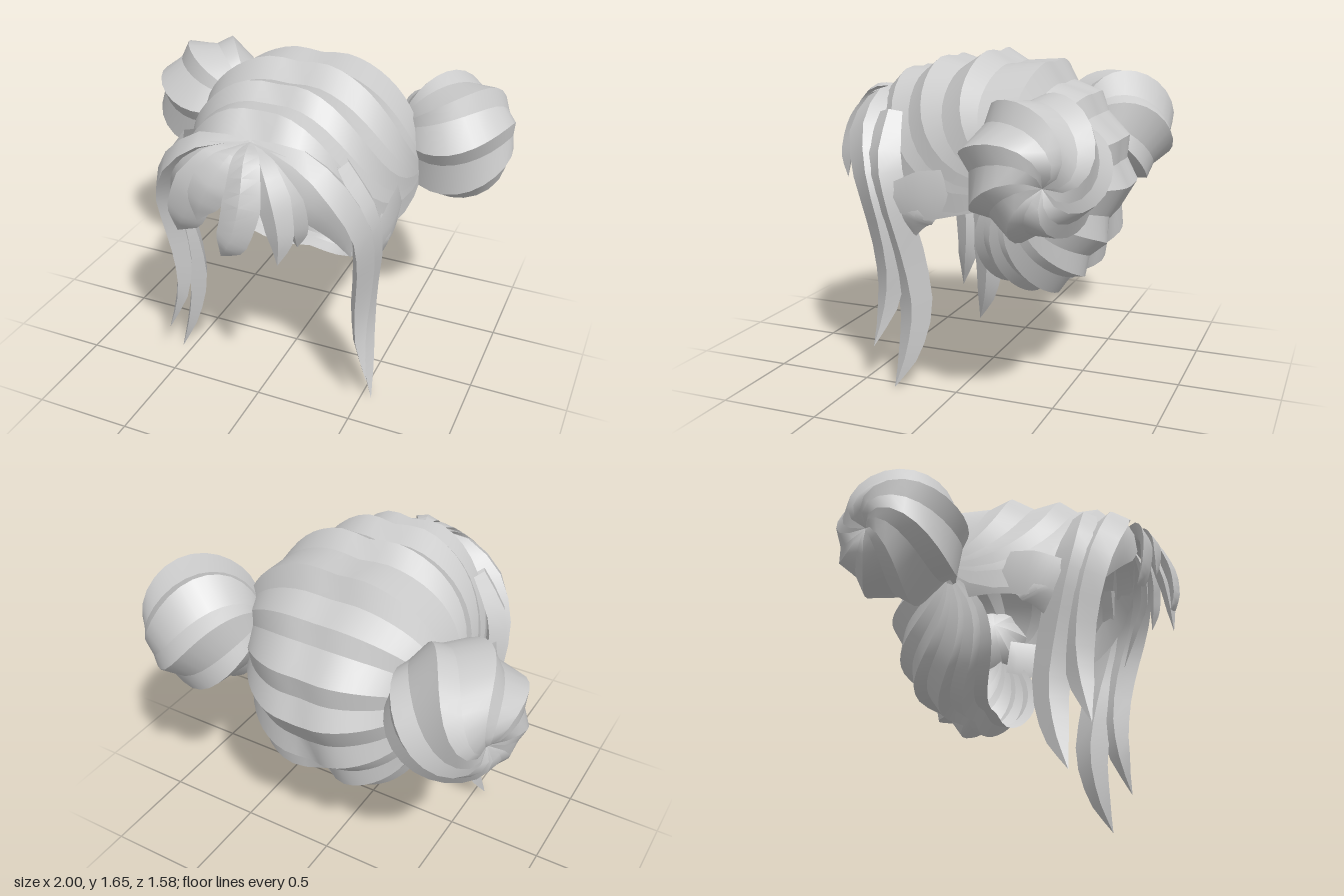
import * as THREE from 'three';
import { mergeGeometries, toCreasedNormals } from 'three/addons/utils/BufferGeometryUtils.js';

const material = new THREE.MeshStandardMaterial({ color: 0xcccccc, side: THREE.DoubleSide });
const V = (x, y, z) => new THREE.Vector3(x, y, z);
const { degToRad, radToDeg, lerp, smoothstep } = THREE.MathUtils;

function named(geometry, name) {
  const mesh = new THREE.Mesh(geometry, material);
  mesh.name = name;
  return mesh;
}

// Grid of quads through rows of points
function loft(rows) {
  const n = rows[0].length, index = [];
  for (let i = 0; i < rows.length - 1; i++)
    for (let j = 0; j < n - 1; j++) {
      const a = i * n + j, b = a + n;
      index.push(a, a + 1, b, b, a + 1, b + 1);
    }
  const g = new THREE.BufferGeometry().setFromPoints(rows.flat());
  g.setIndex(index);
  g.computeVertexNormals();
  return g;
}

// Separate smooth bands between neighbouring ridge lines, so ridges stay sharp
function bands(lines) {
  const parts = [];
  for (let i = 0; i < lines.length - 1; i++) parts.push(loft([lines[i], lines[i + 1]]));
  return mergeGeometries(parts);
}

// Ridged cap: mid-line profile (z, y), every line gathered towards the bun on each side
const PROFILE = [
  [0.55, 1.45], [0.42, 1.575], [0.31, 1.565], [0.22, 1.635], [0.09, 1.59], [-0.03, 1.665],
  [-0.13, 1.6], [-0.33, 1.615], [-0.39, 1.51], [-0.54, 1.46], [-0.58, 1.36], [-0.7, 1.24],
  [-0.69, 1.12], [-0.75, 1.02], [-0.68, 0.9], [-0.7, 0.78], [-0.62, 0.7], [-0.61, 0.59],
  [-0.53, 0.57], [-0.46, 0.47], [-0.39, 0.5], [-0.32, 0.455], [-0.25, 0.51], [-0.18, 0.49],
];

function capLine([z, y]) {
  const cz = -0.2, cy = 1.08;
  const r = Math.hypot(z - cz, y - cy);
  let deg = radToDeg(Math.atan2(y - cy, z - cz));
  if (deg < 0) deg += 360;
  // front lines sag on the way to the bun, nape lines lean forward
  let sag = 0;
  if (deg < 105) sag = 92 * (105 - deg) / 80;
  if (deg > 180) sag = -50 * (deg - 180) / 90;
  const width = 0.585 - 0.095 * smoothstep(deg, 90, 180);
  const n = 2.3 - 0.3 * smoothstep(deg, 70, 150) + 0.8 * smoothstep(deg, 190, 250);
  const line = [];
  for (let i = -14; i <= 14; i++) {
    const t = Math.abs(i) / 14 * 1.53;
    const s = Math.pow(Math.cos(t), 2 / n);
    const x = Math.sign(i) * width * Math.pow(Math.sin(t), 2 / n);
    // the parting dips in, and nape lines meet there in a V
    const parting = Math.exp(-Math.pow(x / 0.1, 2));
    const vee = 15 * smoothstep(deg, 175, 215) * (1 - smoothstep(deg, 230, 268)) * Math.exp(-Math.abs(x) / 0.16);
    const a = degToRad(deg - sag * (1 - s) + vee);
    const rr = r * s * (1 - 0.045 * parting);
    const zc = cz - 0.1 * Math.pow(1 - s, 2);
    line.push(V(x, cy + rr * Math.sin(a), zc + rr * Math.cos(a)));
  }
  return line;
}

// Tapered lock with a diamond section; wide is the direction of its breadth
function lock(points, widths, wide, thickness) {
  const curve = new THREE.CatmullRomCurve3(points.map(p => V(...p)));
  const rows = [], steps = 14;
  for (let i = 0; i <= steps; i++) {
    const t = i / steps, f = t * (widths.length - 1), k = Math.min(Math.floor(f), widths.length - 2);
    const w = lerp(widths[k], widths[k + 1], f - k);
    const p = curve.getPoint(t), tan = curve.getTangent(t);
    const side = V(...wide).addScaledVector(tan, -tan.dot(V(...wide))).normalize();
    const out = V(0, 0, 0).crossVectors(side, tan).normalize();
    const h = thickness * w / Math.max(...widths);
    rows.push([[w, 0], [0, h], [-w, 0], [0, -h], [w, 0]].map(([a, b]) =>
      p.clone().addScaledVector(side, a).addScaledVector(out, b)));
  }
  return toCreasedNormals(loft(rows), degToRad(35));
}

// Swirled bun: stepped lobes twisting from the head to the outer knot
function bunGeometry() {
  const lobes = 7, lines = [], center = V(0.69, 1.19, -0.465);
  const axis = V(0.86, -0.2, -0.45).normalize();
  const turn = new THREE.Quaternion().setFromUnitVectors(V(0, 1, 0), axis);
  for (let k = 0; k <= lobes * 2; k++) {
    const ridge = k % 2 === 0;
    const start = (Math.floor(k / 2) + (ridge ? 0 : 0.66)) / lobes * Math.PI * 2;
    const line = [];
    for (let j = 0; j <= 16; j++) {
      const v = j / 16, lat = v * Math.PI;
      const a = start + 1.8 * v * v;
      const r = ridge ? 0.338 : 0.285;
      const dimple = 1 - 0.25 * Math.pow(v, 14);
      const h = -Math.cos(lat) * 0.3 * dimple;
      const ring = r * Math.pow(Math.sin(lat), 0.9);
      line.push(V(ring * Math.cos(a), h, ring * Math.sin(a)).applyQuaternion(turn).add(center));
    }
    lines.push(line);
  }
  return bands(lines);
}

// Everything that hangs or sits on one side
function sideHair() {
  const g = new THREE.Group();
  g.add(named(bunGeometry(), 'bun'));
  // side locks sweep from the parting over the temple and hang down
  g.add(named(lock(
    [[0, 1.45, 0.5], [0.24, 1.41, 0.51], [0.41, 1.27, 0.5], [0.505, 1.07, 0.44], [0.51, 0.85, 0.38],
      [0.49, 0.6, 0.35], [0.5, 0.4, 0.37], [0.56, 0.2, 0.42]],
    [0.01, 0.08, 0.1, 0.095, 0.09, 0.08, 0.055, 0], [0, 0, 1], 0.06), 'frontSideLock'));
  g.add(named(lock(
    [[0.39, 1.36, 0.38], [0.51, 1.14, 0.37], [0.525, 0.93, 0.32], [0.495, 0.7, 0.265], [0.48, 0.42, 0.22],
      [0.51, 0.18, 0.25], [0.555, 0, 0.31]],
    [0.06, 0.1, 0.1, 0.1, 0.09, 0.06, 0], [0, 0, 1], 0.055), 'backSideLock'));
  // band between bun and temple, with a loose pointed end
  g.add(named(lock(
    [[0.46, 1.05, -0.25], [0.54, 1.02, -0.03], [0.555, 0.99, 0.15], [0.545, 0.97, 0.33]],
    [0.1, 0.11, 0.12, 0.06], [0, 1, 0], 0.02), 'templeBand'));
  g.add(named(lock(
    [[0.53, 1.0, 0.1], [0.545, 0.89, 0.18], [0.51, 0.77, 0.21]],
    [0.1, 0.09, 0], [0, 0, 1], 0.02), 'templeTuft'));
  g.add(named(lock(
    [[0, 1.45, 0.53], [0.17, 1.36, 0.58], [0.32, 1.23, 0.57], [0.42, 1.08, 0.49], [0.46, 0.9, 0.42]],
    [0.01, 0.085, 0.1, 0.07, 0], [1, 0.8, -0.3], 0.02), 'outerFringe'));
  return g;
}

export function createModel() {
  const model = new THREE.Group();
  model.name = 'hair';
  model.add(named(bands(PROFILE.map(capLine)), 'cap'));

  const left = sideHair(), right = sideHair();
  left.name = 'leftSide';
  right.name = 'rightSide';
  right.scale.x = -1;
  model.add(left, right);

  // Fringe locks fan out from the middle of the hairline
  const fringe = new THREE.Group();
  fringe.name = 'fringe';
  const tips = [
    [[0.04, 1.43, 0.65], [0.06, 1.25, 0.745], [0.01, 1.06, 0.765], [-0.05, 0.97, 0.745], 0.095],
    [[-0.11, 1.39, 0.62], [-0.21, 1.24, 0.66], [-0.29, 1.07, 0.65], [-0.345, 0.97, 0.62], 0.115],
    [[-0.05, 1.41, 0.64], [-0.11, 1.3, 0.69], [-0.16, 1.2, 0.7], [-0.19, 1.1, 0.7], 0.1],
    [[0.11, 1.4, 0.63], [0.19, 1.28, 0.69], [0.235, 1.12, 0.72], [0.225, 0.98, 0.73], 0.085],
    [[0.12, 1.38, 0.61], [0.24, 1.25, 0.64], [0.27, 1.12, 0.63], [0.27, 1.02, 0.61], 0.08],
  ];
  tips.forEach(([a, b, c, d, w], i) => fringe.add(named(
    lock([[0, 1.45, 0.52], a, b, c, d], [0.015, w * 0.7, w, w * 0.8, 0], [1, 0, 0], 0.03), 'fringeLock' + (i + 1))));
  model.add(fringe);
  return model;
}
